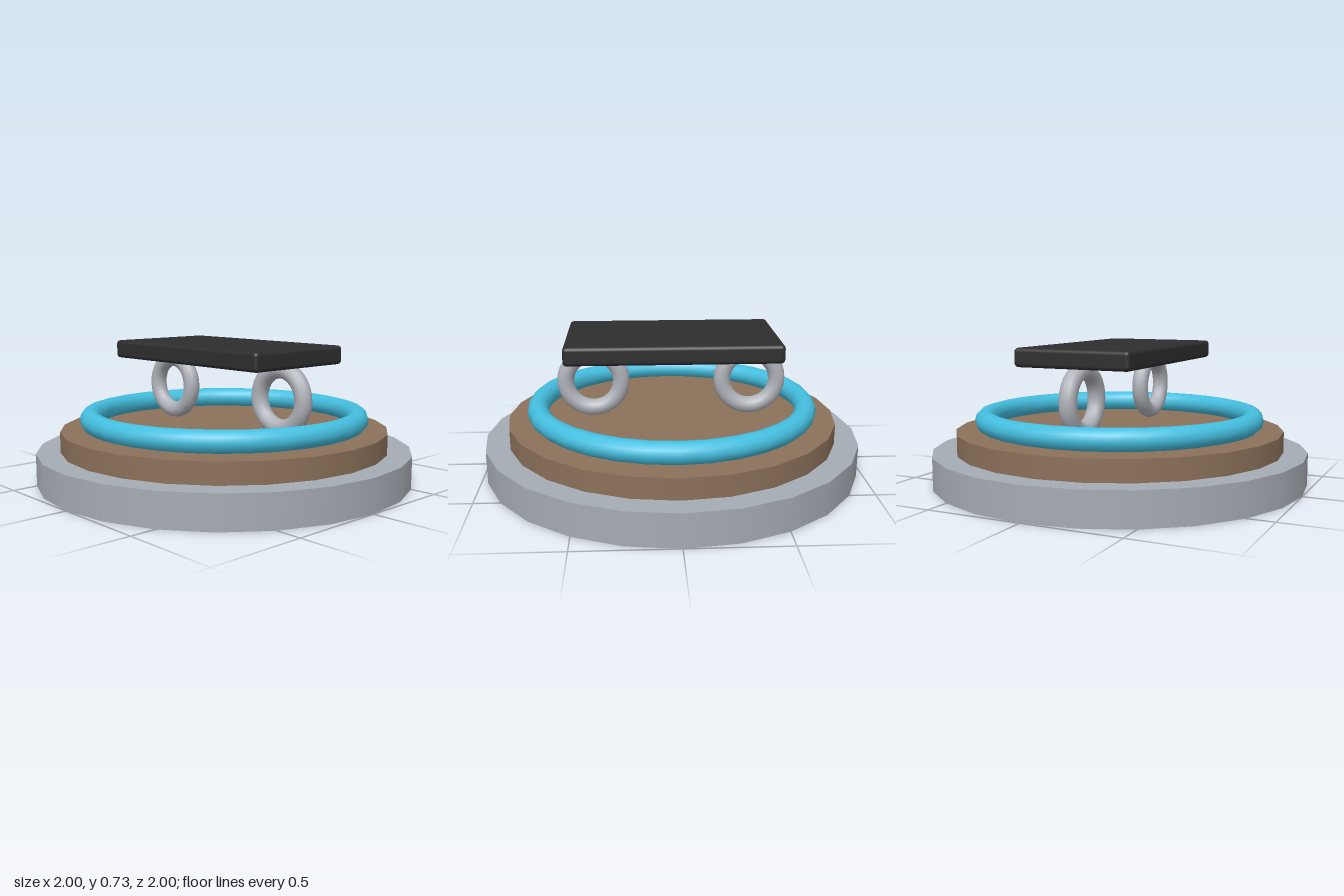
import * as THREE from 'three';
import { RoundedBoxGeometry } from 'three/addons/geometries/RoundedBoxGeometry.js';

const material = (color) => new THREE.MeshStandardMaterial({ color });

export function createModel() {
  const model = new THREE.Group();
  model.name = 'steppedPlinth';

  const add = (name, geometry, mat, x, y, z = 0) => {
    const mesh = new THREE.Mesh(geometry, mat);
    mesh.name = name;
    mesh.position.set(x, y, z);
    model.add(mesh);
    return mesh;
  };

  const stone = material(0xa6acb4);
  const wood = material(0x8c715a);
  const blue = material(0x45bfe0);
  const steel = material(0xb0b3ba);
  const black = material(0x2e2e2e);

  // Two stacked 24-sided discs
  add('base', new THREE.CylinderGeometry(1, 1, 0.17, 24), stone, 0, 0.085);
  add('upperDisc', new THREE.CylinderGeometry(0.874, 0.874, 0.11, 24), wood, 0, 0.223);

  // Large ring lying on the upper disc
  const ring = new THREE.TorusGeometry(0.715, 0.056, 12, 32).rotateX(Math.PI / 2);
  add('largeRing', ring, blue, 0, 0.334);

  // Pair of upright rings carrying the plate
  const support = new THREE.TorusGeometry(0.148, 0.045, 12, 32);
  for (const [name, side] of [['leftSupportRing', 1], ['rightSupportRing', -1]]) {
    add(name, support, steel, side * 0.418, 0.47);
  }

  // Top plate with softened edges
  add('topPlate', new RoundedBoxGeometry(1.104, 0.096, 0.628, 3, 0.02), black, 0, 0.681);

  return model;
}
